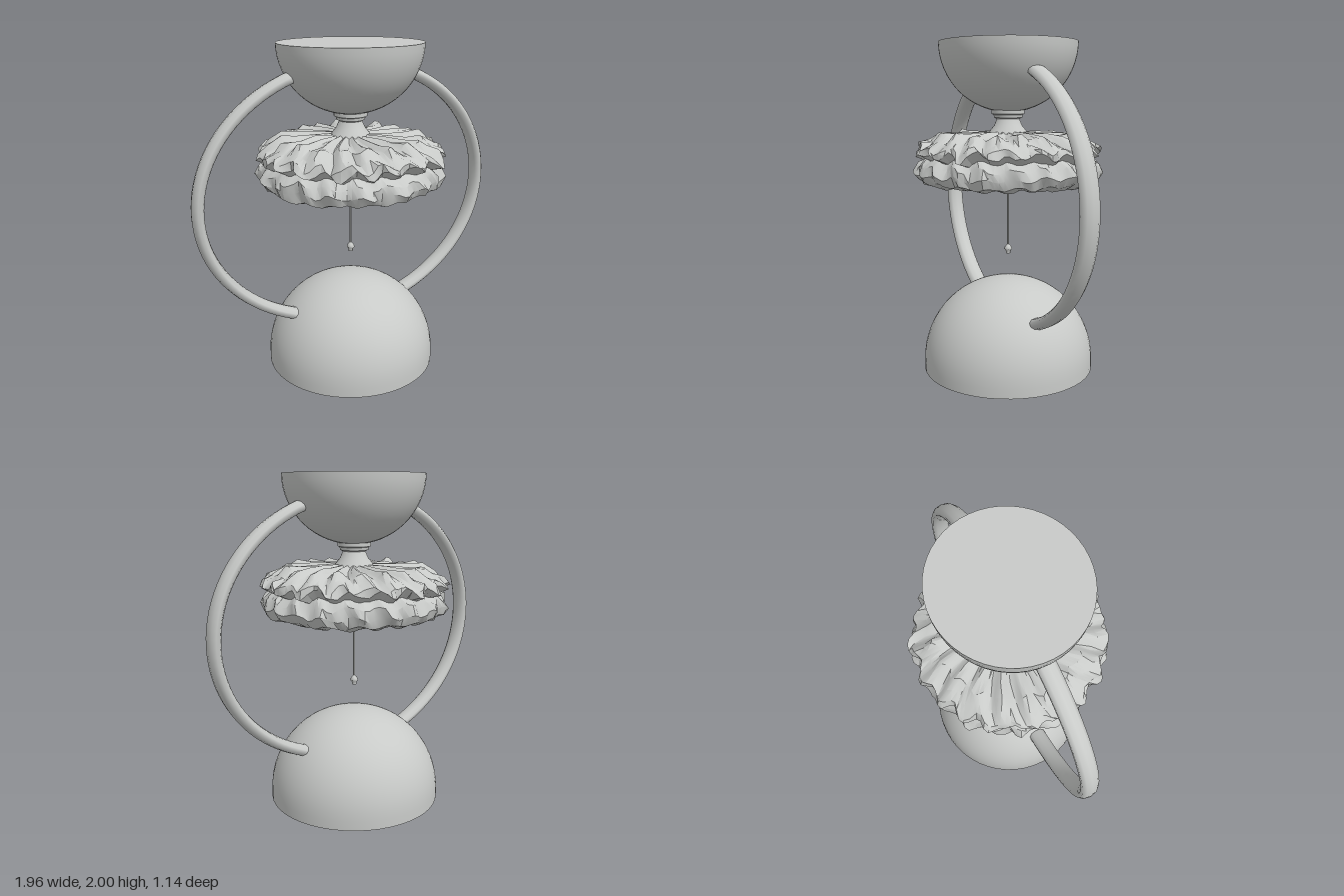
import * as THREE from 'three';
import { toCreasedNormals } from 'three/addons/utils/BufferGeometryUtils.js';

const V = (x, y) => new THREE.Vector2(x, y);

// Repeatable noise in the range -1..1
function noise(a, b) {
  const s = Math.sin(a * 127.1 + b * 311.7) * 43758.5453;
  return (s - Math.floor(s)) * 2 - 1;
}

// Revolved solid with crisp rims, profile listed from bottom to top
function turned(points, segments = 40, crease = 0.7) {
  return toCreasedNormals(new THREE.LatheGeometry(points, segments), crease);
}

// Quarter arc profile points
function arc(rx, ry, cy, from, to, n) {
  const pts = [];
  for (let i = 0; i <= n; i++) {
    const a = from + ((to - from) * i) / n;
    pts.push(V(Math.max(0, Math.cos(a) * rx), cy + Math.sin(a) * ry));
  }
  return pts;
}

// Gathered cloth: rows of [radius, height, fold depth, fold lift], folded around the axis
function ruffle(rows, folds) {
  const seg = folds * 6;
  const geo = new THREE.LatheGeometry(rows.map(([r, y]) => V(r, y)), seg);
  const pos = geo.attributes.position;
  for (let i = 0; i < pos.count; i++) {
    const row = i % rows.length;
    const step = Math.floor(i / rows.length) % seg;
    const [r0, y0, depth, lift] = rows[row];
    const a = (step / seg) * Math.PI * 2;
    const wave = Math.cos(a * folds + 0.9 * Math.sin(a * 5 + row * 0.7));
    const crumple = noise(row, Math.floor(step / 2));
    const r = r0 + depth * (0.65 * wave + 0.45 * crumple);
    const y = y0 + lift * (0.7 * Math.cos(a * folds + 1.3 + row) + 0.5 * noise(row + 40, Math.floor(step / 2)));
    pos.setXYZ(i, Math.sin(a) * r, y, Math.cos(a) * r);
  }
  return toCreasedNormals(geo, 0.6);
}

// Half hoop swept along an ellipse with a flattened section
function hoopGeometry() {
  const steps = 40, sides = 10, end = 1.17;
  const p = [], index = [];
  for (let i = 0; i <= steps; i++) {
    const t = -end + (2 * end * i) / steps;
    const n = V(Math.cos(t) / 0.945, Math.sin(t) / 0.785).normalize();
    for (let j = 0; j < sides; j++) {
      const b = (j / sides) * Math.PI * 2;
      const o = Math.cos(b) * 0.035;
      p.push(0.945 * Math.cos(t) + n.x * o, 1.1 + 0.785 * Math.sin(t) + n.y * o, Math.sin(b) * 0.055 + 0.005 * Math.sin(t));
      if (i < steps) {
        const k = i * sides + j, l = i * sides + ((j + 1) % sides);
        index.push(k, k + sides, l, l, k + sides, l + sides);
      }
    }
  }
  const geo = new THREE.BufferGeometry();
  geo.setAttribute('position', new THREE.Float32BufferAttribute(p, 3));
  geo.setIndex(index);
  geo.computeVertexNormals();
  return geo;
}

export function createModel() {
  const group = new THREE.Group();
  const grey = new THREE.MeshStandardMaterial({ color: 0xc8cac8 });
  grey.name = 'pale grey';
  const cloth = new THREE.MeshStandardMaterial({ color: 0xc8cac8, side: THREE.DoubleSide });
  cloth.name = 'pale grey cloth';
  grey.side = THREE.DoubleSide;

  const add = (name, geo, mat = grey) => {
    const mesh = new THREE.Mesh(geo, mat);
    mesh.name = name;
    group.add(mesh);
    return mesh;
  };

  // Domed foot and the inverted dome on top, both closed
  add('baseDome', turned([V(0, 0.005), V(0.525, 0.005), ...arc(0.525, 0.515, 0.06, 0, Math.PI / 2, 16)], 48));
  const bowl = add('topBowl', turned([...arc(0.43, 0.41, 2, -Math.PI / 2, 0, 16), V(0, 2)], 48));
  bowl.scale.z = 0.955;

  // Side hoops joining the domes
  for (const side of [1, -1]) {
    const hoop = add(side > 0 ? 'leftHoop' : 'rightHoop', hoopGeometry());
    if (side < 0) hoop.rotation.y = Math.PI;
  }

  // Neck with collar
  add('neck', turned([
    V(0.13, 1.44), V(0.11, 1.48), V(0.085, 1.51), V(0.068, 1.55), V(0.085, 1.558),
    V(0.088, 1.575), V(0.1, 1.58), V(0.1, 1.605), V(0.06, 1.62),
  ], 24));

  // Two tiers of gathered cloth
  add('upperRuffle', ruffle([
    [0.46, 1.3, 0.015, 0.01], [0.55, 1.355, 0.032, 0.032], [0.535, 1.385, 0.03, 0.028],
    [0.47, 1.415, 0.025, 0.02], [0.41, 1.455, 0.025, 0.022], [0.32, 1.455, 0.015, 0.016],
    [0.22, 1.462, 0.012, 0.014], [0.1, 1.47, 0.0, 0.006],
  ], 20), cloth);
  add('lowerRuffle', ruffle([
    [0.03, 1.25, 0, 0], [0.13, 1.225, 0.01, 0.012], [0.24, 1.2, 0.015, 0.016],
    [0.35, 1.18, 0.015, 0.016], [0.45, 1.163, 0.02, 0.012], [0.525, 1.185, 0.024, 0.016],
    [0.55, 1.235, 0.026, 0.018], [0.535, 1.285, 0.025, 0.018], [0.49, 1.325, 0.02, 0.015],
    [0.42, 1.35, 0.01, 0.01],
  ], 20), cloth);

  // Pull rod and finial
  const rod = add('pullRod', new THREE.CylinderGeometry(0.006, 0.006, 0.5, 8));
  rod.position.y = 1.02;
  add('finial', turned([
    V(0, 0.72), V(0.014, 0.724), V(0.014, 0.738), V(0.025, 0.752), V(0.02, 0.766), V(0.006, 0.782),
  ], 10, 1));
  return group;
}
